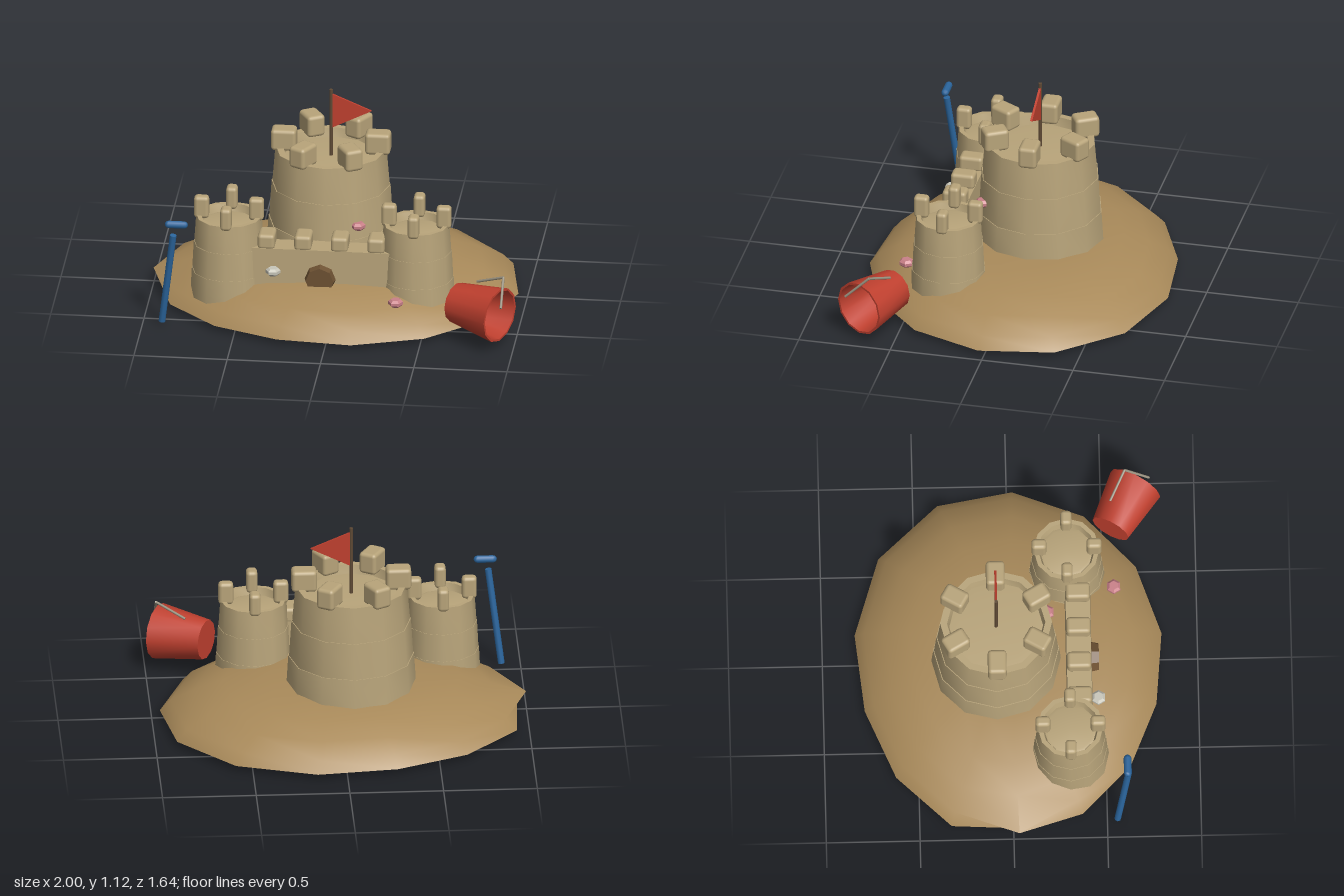
import * as THREE from 'three';
import { toCreasedNormals } from 'three/addons/utils/BufferGeometryUtils.js';
import { RoundedBoxGeometry } from 'three/addons/geometries/RoundedBoxGeometry.js';

const mat = (color) => new THREE.MeshStandardMaterial({ color });
const SAND = mat(0xb8a47a), MOUND = mat(0xa98a5a), RED = mat(0xc0402f), BLUE = mat(0x2b669e);
const WOOD = mat(0x5f4a35), DOOR = mat(0x6e5233), METAL = mat(0x9a9280), PINK = mat(0xc98088), WHITE = mat(0xc8c6ba);

function add(parent, name, geometry, material) {
  const mesh = new THREE.Mesh(geometry, material);
  mesh.name = name;
  parent.add(mesh);
  return mesh;
}

const lathe = (points, sides) =>
  new THREE.LatheGeometry(points.map(([r, y]) => new THREE.Vector2(r, y)), sides);

// Straight round rod between two points
function rod(parent, name, a, b, radius, material) {
  const from = new THREE.Vector3(...a), to = new THREE.Vector3(...b);
  const dir = to.clone().sub(from);
  const mesh = add(parent, name, new THREE.CylinderGeometry(radius, radius, dir.length(), 8), material);
  mesh.position.copy(from).add(to).multiplyScalar(0.5);
  mesh.quaternion.setFromUnitVectors(new THREE.Vector3(0, 1, 0), dir.normalize());
  return mesh;
}

// Irregular low mound: every ring follows the same outline, scaled by the profile
function buildMound(parent) {
  const outline = [[0.14, 0.81], [0.52, 0.68], [0.81, 0.41], [0.955, 0.03], [0.885, -0.37], [0.59, -0.69],
    [0.16, -0.825], [-0.27, -0.78], [-0.65, -0.62], [-0.93, -0.33], [-1, 0.03], [-0.875, 0.37],
    [-0.61, 0.63], [-0.26, 0.775]];
  const profile = [[0, 0], [1, 0.03], [0.94, 0.09], [0.81, 0.15], [0.65, 0.208], [0.4, 0.235], [0, 0.245]];
  const geo = lathe(profile, outline.length);
  const pos = geo.attributes.position;
  for (let i = 0; i < pos.count; i++) {
    const ring = i % profile.length;
    const [x, z] = outline[Math.floor(i / profile.length) % outline.length];
    let k = profile[ring][0];
    // the lip overhangs the foot on one side
    if (x < -0.95) k = ring === 1 ? 0.95 : ring === 2 ? 1 : k;
    pos.setXYZ(i, x * k, profile[ring][1], z * k);
  }
  add(parent, 'mound', toCreasedNormals(geo, 0.6), MOUND);
}

// Layered tower with a recessed top and a ring of merlons
function buildTower(parent, name, x, z, t) {
  const tower = new THREE.Group();
  tower.name = name;
  tower.position.set(x, 0, z);
  parent.add(tower);
  const { rBase: a, rTop: b, base, top, sides } = t;
  const profile = [[0, base]];
  for (let i = 0; i < 3; i++) {
    const r = (k) => a + (b - a) * k;
    const y = (k) => base + (top - base) * k;
    profile.push([r(i / 3), y(i / 3)], [r((i + 0.75) / 3), y((i + 1) / 3)]);
  }
  profile[profile.length - 1][0] = b;
  profile.push([t.rInner, top], [t.rInner - 0.012, top - t.recess], [t.rFloor, top - t.recess + 0.004],
    [0, top - t.recess + 0.004]);
  add(tower, name + 'Body', toCreasedNormals(lathe(profile, sides), 0.68), SAND);
  const [depth, height, width] = t.merlon;
  for (let i = 0; i < t.count; i++) {
    const pivot = new THREE.Group();
    pivot.rotation.y = (i / t.count) * Math.PI * 2;
    tower.add(pivot);
    const m = add(pivot, name + 'Merlon', new RoundedBoxGeometry(depth, height, width, 2, 0.02), SAND);
    m.position.set(t.rMerlon, t.merlonTop - height / 2, 0);
  }
}

// Straight wall with slightly battered faces, merlons and a rounded gate
function buildWall(parent) {
  const geo = new THREE.BoxGeometry(0.76, 0.3, 0.13);
  const pos = geo.attributes.position;
  for (let i = 0; i < pos.count; i++) {
    if (pos.getY(i) < 0) pos.setZ(i, pos.getZ(i) * 1.1);
  }
  geo.computeVertexNormals();
  add(parent, 'wall', geo, SAND).position.set(-0.06, 0.255, 0.365);
  for (let i = 0; i < 4; i++) {
    add(parent, 'wallMerlon', new RoundedBoxGeometry(0.092, 0.085, 0.13, 2, 0.02), SAND)
      .position.set(-0.355 + i * 0.196, 0.438, 0.365);
  }
  const gate = add(parent, 'gate',
    toCreasedNormals(new THREE.CylinderGeometry(0.075, 0.09, 0.07, 8).rotateX(Math.PI / 2), 0.6), DOOR);
  gate.position.set(-0.063, 0.243, 0.437);
}

// Bucket lying on its side with a bent wire handle
function buildBucket(parent) {
  const bucket = new THREE.Group();
  bucket.name = 'bucket';
  parent.add(bucket);
  const profile = [[0, 0], [0.108, 0], [0.15, 0.285], [0.138, 0.285], [0.098, 0.015], [0, 0.015]];
  const body = add(bucket, 'bucketBody', toCreasedNormals(lathe(profile, 12), 0.6), RED);
  body.position.set(0.677, 0.195, 0.55);
  body.quaternion.setFromUnitVectors(new THREE.Vector3(0, 1, 0),
    new THREE.Vector3(0.245, -0.005, 0.135).normalize());
  const bend = [0.94, 0.385, 0.63];
  rod(bucket, 'bucketHandle', [0.79, 0.32, 0.55], bend, 0.007, METAL);
  rod(bucket, 'bucketHandle', bend, [0.94, 0.26, 0.76], 0.007, METAL);
}

export function createModel() {
  const model = new THREE.Group();
  model.name = 'sandcastle';
  buildMound(model);

  buildTower(model, 'keep', -0.06, -0.075, {
    rBase: 0.348, rTop: 0.298, base: 0.18, top: 0.79, sides: 12, rInner: 0.262, rFloor: 0.2, recess: 0.05,
    count: 6, rMerlon: 0.252, merlon: [0.135, 0.12, 0.1], merlonTop: 0.892,
  });
  for (const x of [-0.565, 0.44]) {
    buildTower(model, 'cornerTower', x, 0.31, {
      rBase: 0.207, rTop: 0.176, base: 0.08, top: 0.54, sides: 12, rInner: 0.152, rFloor: 0.125, recess: 0.04,
      count: 4, rMerlon: 0.147, merlon: [0.08, 0.125, 0.06], merlonTop: 0.645,
    });
  }
  buildWall(model);

  // Pole and pennant
  rod(model, 'flagPole', [-0.06, 0.7, -0.075], [-0.06, 1.125, -0.075], 0.01, WOOD);
  const pennant = new THREE.Shape([[-0.055, 1.1], [-0.055, 0.905], [0.157, 1.01]]
    .map((p) => new THREE.Vector2(...p)));
  add(model, 'flag', new THREE.ExtrudeGeometry(pennant, { depth: 0.012, bevelEnabled: false }), RED)
    .position.z = -0.081;

  // Spade with a cross grip
  rod(model, 'spadeShaft', [-0.898, 0.012, 0.555], [-0.831, 0.54, 0.615], 0.018, BLUE);
  add(model, 'spadeGrip', new THREE.CapsuleGeometry(0.021, 0.082, 3, 8).rotateZ(Math.PI / 2), BLUE)
    .position.set(-0.815, 0.6, 0.61);

  buildBucket(model);

  // Six-sided shells
  const shell = toCreasedNormals(
    lathe([[0, -0.02], [0.026, -0.02], [0.04, -0.008], [0.04, 0.008], [0.026, 0.02], [0, 0.02]], 6), 0.5);
  for (const [x, y, z, m] of [[0.115, 0.46, 0.2, PINK], [0.355, 0.18, 0.56, PINK], [-0.312, 0.29, 0.465, WHITE]]) {
    const s = add(model, 'shell', shell, m);
    s.position.set(x, y, z);
    s.rotation.y = Math.PI / 6;
  }
  return model;
}
